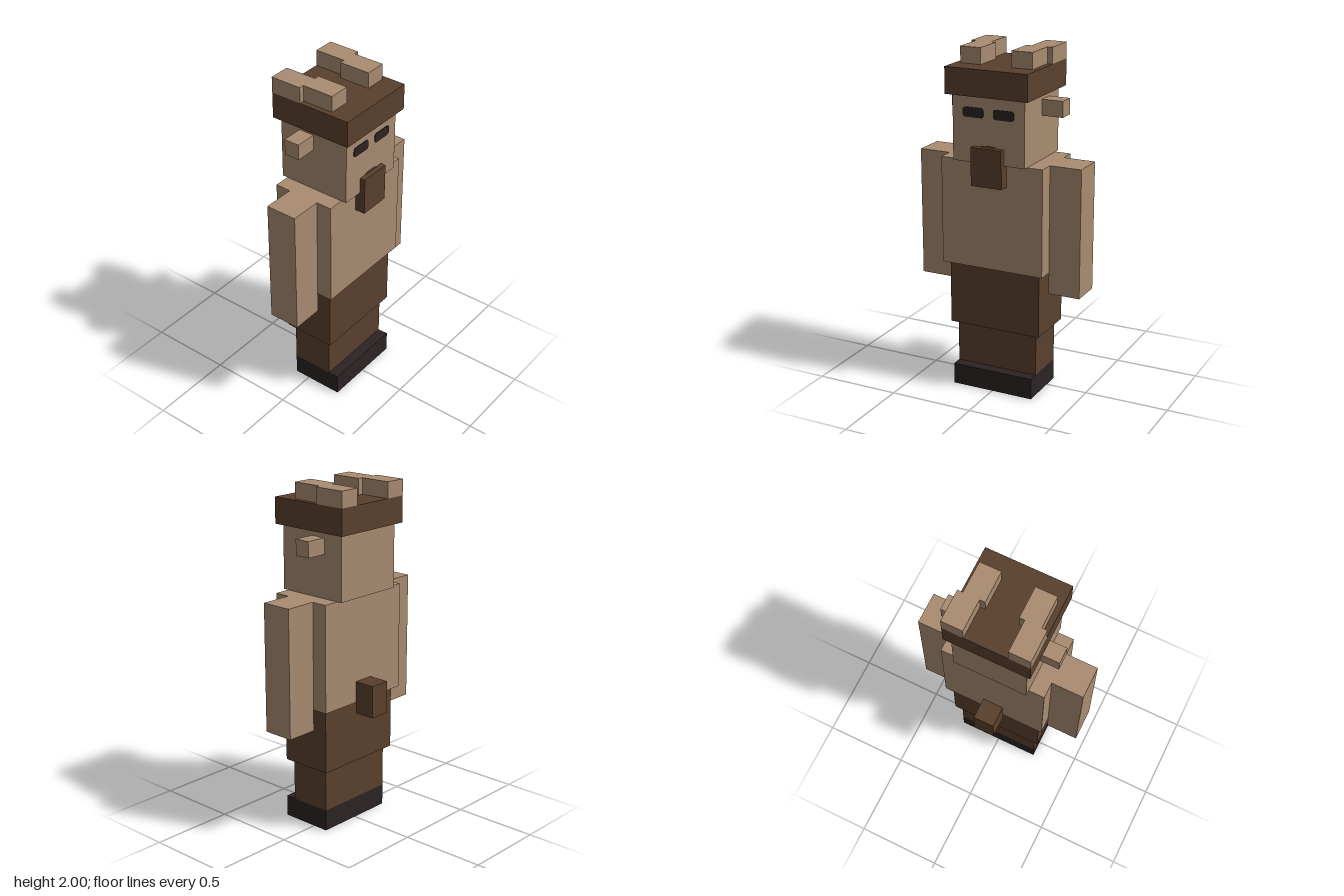
import * as THREE from 'three';

const material = (name, color) => {
  const m = new THREE.MeshStandardMaterial({ color });
  m.name = name;
  return m;
};

export function createModel() {
  const model = new THREE.Group();
  model.name = 'hornedFigure';

  const skin = material('tan skin', 0xa98b70);
  const fur = material('brown fur', 0x5a402d);
  const dark = material('dark hoof', 0x2c2324);
  const lip = material('lip', 0x70482f);

  // Box given by its limits on each axis
  function block(name, mat, [x0, x1], [y0, y1], [z0, z1]) {
    const mesh = new THREE.Mesh(new THREE.BoxGeometry(x1 - x0, y1 - y0, z1 - z0), mat);
    mesh.position.set((x0 + x1) / 2, (y0 + y1) / 2, (z0 + z1) / 2);
    mesh.name = name;
    model.add(mesh);
  }

  // Thin plate on the face, outlined by a shape
  function plate(name, mat, shape, x, y) {
    const geo = new THREE.ExtrudeGeometry(shape, { depth: 0.004, bevelEnabled: false, curveSegments: 8 });
    const mesh = new THREE.Mesh(geo, mat);
    mesh.position.set(x, y, 0.25);
    mesh.name = name;
    model.add(mesh);
  }

  // Legs
  block('hooves', dark, [-0.25, 0.25], [0, 0.125], [-0.094, 0.219]);
  block('lowerLegs', fur, [-0.25, 0.25], [0.125, 0.378], [-0.094, 0.156]);
  block('upperLegs', fur, [-0.281, 0.281], [0.378, 0.755], [-0.125, 0.188]);
  block('tail', fur, [-0.0625, 0.0625], [0.69, 0.88], [-0.281, -0.156]);

  // Body and head
  block('torso', skin, [-0.3125, 0.3125], [0.755, 1.38], [-0.156, 0.219]);
  block('head', skin, [-0.219, 0.219], [1.38, 1.755], [-0.188, 0.25]);
  block('hair', fur, [-0.25, 0.25], [1.755, 1.907], [-0.219, 0.281]);
  block('beard', fur, [-0.094, 0.094], [1.253, 1.473], [0.219, 0.281]);

  // Eye outline: rectangle with clipped corners
  const w = 0.0625, h = 0.028, c = 0.01;
  const eye = new THREE.Shape([
    [-w + c, -h], [w - c, -h], [w, -h + c], [w, h - c],
    [w - c, h], [-w + c, h], [-w, h - c], [-w, -h + c],
  ].map(([x, y]) => new THREE.Vector2(x, y)));

  // Mirrored parts
  for (const [side, s] of [['left', 1], ['right', -1]]) {
    const span = (a, b) => (s > 0 ? [a, b] : [-b, -a]);
    block(side + 'Arm', skin, span(0.3125, 0.5), [0.63, 1.38], [-0.0625, 0.125]);
    block(side + 'Ear', skin, span(0.219, 0.344), [1.63, 1.722], [-0.0625, 0.031]);
    block(side + 'HornFront', skin, span(0.094, 0.219), [1.907, 2], [-0.031, 0.156]);
    block(side + 'HornBack', skin, span(0.125, 0.25), [1.907, 2], [-0.219, -0.031]);
    plate(side + 'Eye', dark, eye, s * 0.0925, 1.662);
  }

  // Mouth, mostly hidden by the beard
  const mouth = new THREE.Shape();
  mouth.absellipse(0, 0, 0.07, 0.025, 0, Math.PI * 2);
  plate('mouth', lip, mouth, 0, 1.458);

  return model;
}
